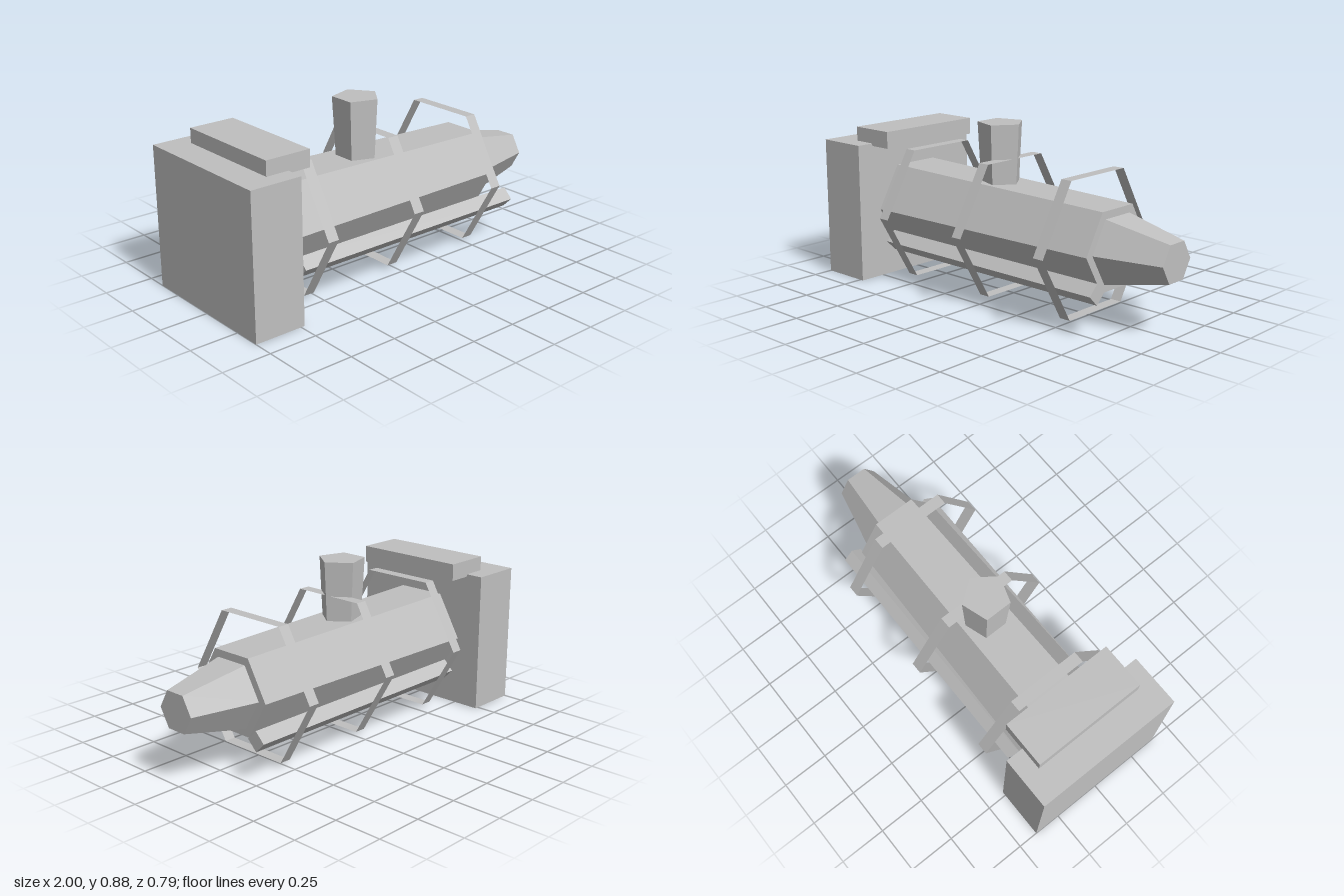
import * as THREE from 'three';

export function createModel() {
  const group = new THREE.Group();
  const grey = new THREE.MeshStandardMaterial({ color: 0xbfbfbf, flatShading: true });
  const bandGrey = grey.clone();
  bandGrey.name = 'grey band';
  bandGrey.side = THREE.DoubleSide;
  grey.name = 'grey';

  const add = (name, geometry, x, y, z, material = grey) => {
    const mesh = new THREE.Mesh(geometry, material);
    mesh.name = name;
    mesh.position.set(x, y, z);
    group.add(mesh);
    return mesh;
  };

  // Prism lying along x, from x0 (radius r0) to x1 (radius r1), corners at +z and -z
  const prismX = (name, sides, x0, r0, x1, r1, y, z, open = false) =>
    add(name, new THREE.CylinderGeometry(r1, r0, x1 - x0, sides, 1, open).rotateZ(-Math.PI / 2),
      (x0 + x1) / 2, y, z, open ? bandGrey : grey);

  const axisY = 0.366;

  // Cab block and its overhanging roof slab
  add('cab', new THREE.BoxGeometry(0.27, 0.728, 0.788), -0.865, 0.364, 0);
  add('cabRoof', new THREE.BoxGeometry(0.24, 0.088, 0.602), -0.73, 0.759, 0);

  // Tapered six-sided barrel and nose
  prismX('barrel', 6, -0.74, 0.258, 0.66, 0.226, axisY, 0);
  prismX('nose', 6, 0.65, 0.184, 1, 0.106, axisY, 0);

  // Thin open bands standing clear of the barrel
  for (const x of [-0.55, -0.02, 0.51]) {
    prismX('band', 6, x - 0.03, 0.39, x + 0.03, 0.39, axisY, 0, true);
  }

  // Diamond-section side rails
  for (const side of [1, -1]) {
    prismX(side > 0 ? 'frontRail' : 'backRail', 4, -0.64, 0.052, 0.74, 0.052, 0.214, side * 0.243);
  }

  // Five-sided flared chimney
  add('chimney', new THREE.CylinderGeometry(0.12, 0.103, 0.32, 5, 1, false, Math.PI / 2), -0.086, 0.72, 0);

  return group;
}
